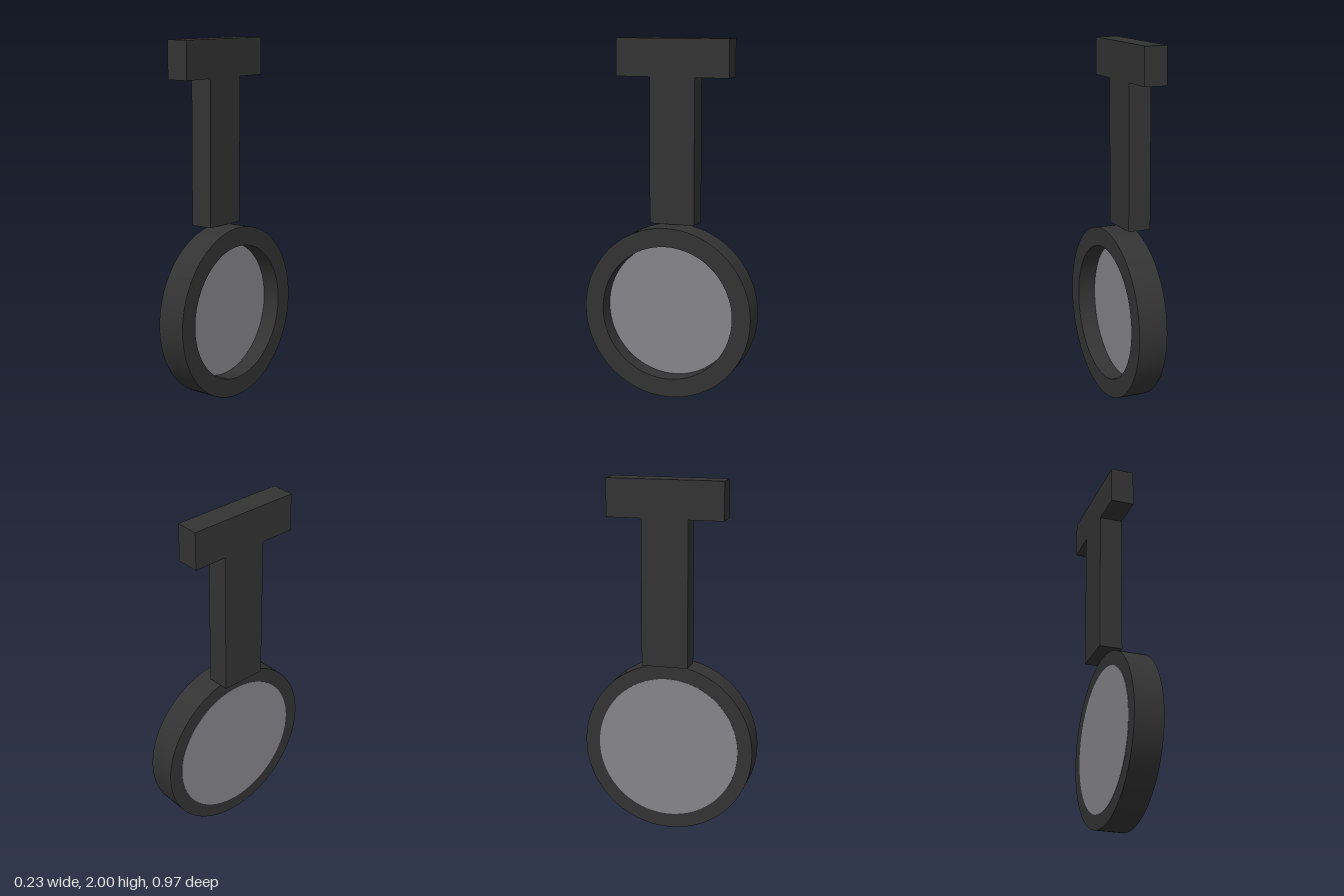
import * as THREE from 'three';
import { toCreasedNormals } from 'three/addons/utils/BufferGeometryUtils.js';

export function createModel() {
  const model = new THREE.Group();
  model.name = 'magnifier';

  const frameMaterial = new THREE.MeshStandardMaterial({ color: 0x333333 });
  frameMaterial.name = 'dark frame';
  const glassMaterial = new THREE.MeshStandardMaterial({ color: 0x858489 });
  glassMaterial.name = 'grey glass';

  const add = (name, geometry, material, x, y) => {
    const mesh = new THREE.Mesh(geometry, material);
    mesh.name = name;
    mesh.position.set(x, y, 0);
    model.add(mesh);
  };

  const outer = 0.485, inner = 0.38, depth = 0.162;
  const ringX = 0.031, handleX = -0.049, handleDepth = 0.13;

  // Ring: a rectangular section turned around the x axis
  const section = [
    [inner, -depth / 2], [outer, -depth / 2],
    [outer, depth / 2], [inner, depth / 2], [inner, -depth / 2],
  ].map(([r, h]) => new THREE.Vector2(r, h));
  const ring = new THREE.LatheGeometry(section, 96).rotateZ(-Math.PI / 2);
  add('lensRing', toCreasedNormals(ring, 0.6), frameMaterial, ringX, outer);

  // Lens: overlaps the back of the ring and stands a hair proud of it
  const lensBack = ringX - depth / 2 - 0.002, lensFront = 0.01;
  const lens = new THREE.CylinderGeometry(0.403, 0.403, lensFront - lensBack, 96).rotateZ(-Math.PI / 2);
  add('lens', lens, glassMaterial, (lensBack + lensFront) / 2, outer);

  // T-shaped handle, set towards the back of the ring
  const stemBottom = 0.975, barBottom = 1.79, top = 2;
  add('handleStem', new THREE.BoxGeometry(handleDepth, barBottom - stemBottom, 0.26),
    frameMaterial, handleX, (stemBottom + barBottom) / 2);
  add('handleBar', new THREE.BoxGeometry(handleDepth, top - barBottom, 0.65),
    frameMaterial, handleX, (barBottom + top) / 2);

  return model;
}
